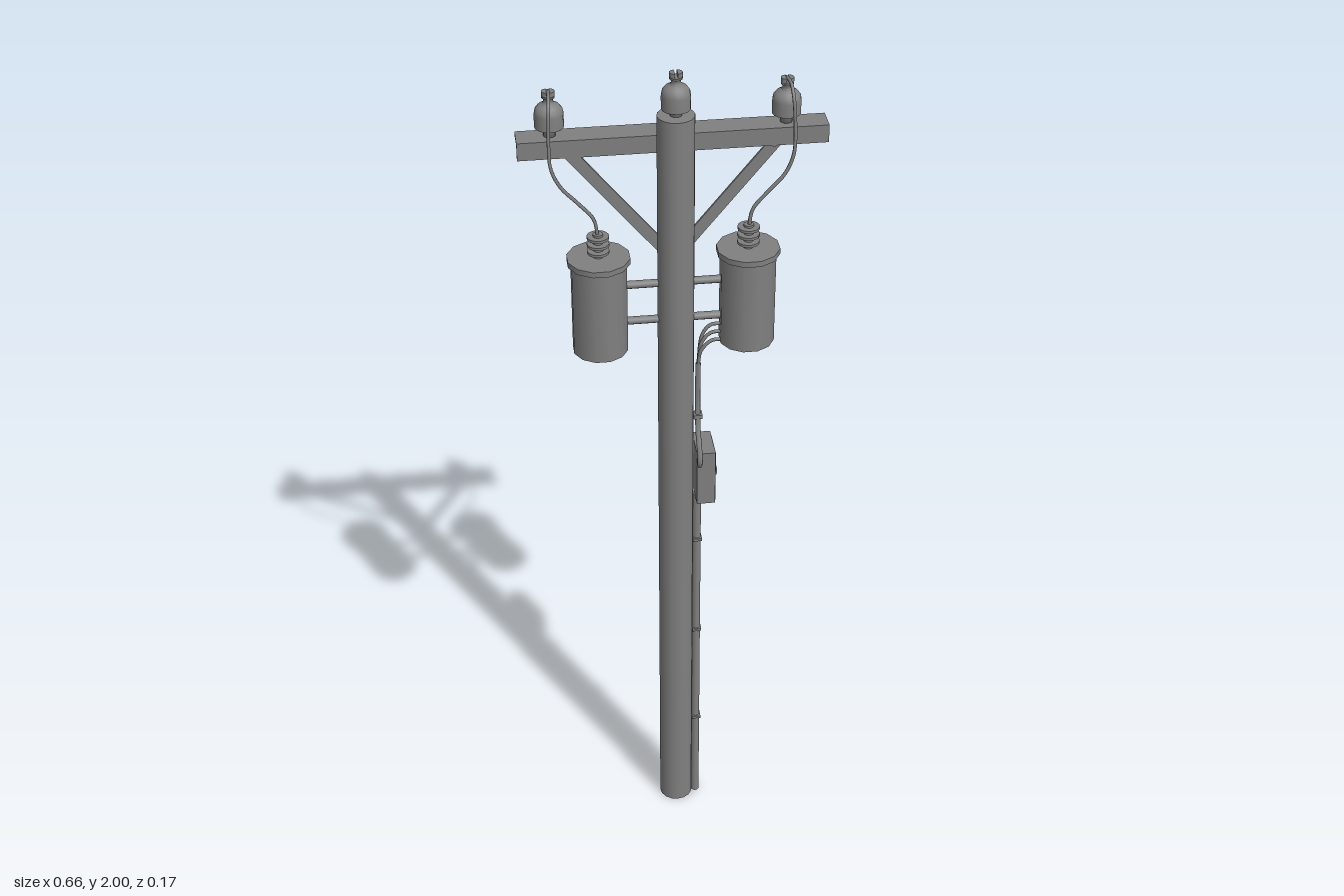
import * as THREE from 'three';

const grey = new THREE.MeshStandardMaterial({ color: 0x808080, side: THREE.DoubleSide });
const Z = 0.015; // depth of the pole axis
const V = (x, y, z) => new THREE.Vector3(x, y, z);

function add(parent, name, geometry, x = 0, y = 0, z = 0) {
  const mesh = new THREE.Mesh(geometry, grey);
  mesh.name = name;
  mesh.position.set(x, y, z);
  parent.add(mesh);
  return mesh;
}

function box(parent, name, w, h, d, x, y, z) {
  return add(parent, name, new THREE.BoxGeometry(w, h, d), x, y, z);
}

function cable(parent, name, points, radius, steps = 40) {
  const curve = new THREE.CatmullRomCurve3(points, false, 'centripetal');
  return add(parent, name, new THREE.TubeGeometry(curve, steps, radius, 6));
}

// Straight round bar between two points
function rod(parent, name, a, b, radius, sides = 10) {
  const mesh = add(parent, name, new THREE.CylinderGeometry(radius, radius, a.distanceTo(b), sides));
  mesh.position.copy(a).add(b).multiplyScalar(0.5);
  mesh.quaternion.setFromUnitVectors(V(0, 1, 0), b.clone().sub(a).normalize());
  return mesh;
}

// Bell-shaped insulator with a split wire saddle on top
function insulator(parent, x, y, z) {
  const group = new THREE.Group();
  group.name = 'insulator';
  group.position.set(x, y, z);
  const profile = [[0, 0], [0.013, 0], [0.013, 0.02], [0.031, 0.02], [0.031, 0.05], [0.029, 0.06],
    [0.023, 0.068], [0.014, 0.072], [0.01, 0.076], [0.01, 0.083], [0.014, 0.086], [0.014, 0.09], [0, 0.09]];
  // Doubled corners keep the hard edges of the skirt
  const points = profile.flatMap(([r, h], i) =>
    [2, 3, 11].includes(i) ? [new THREE.Vector2(r, h), new THREE.Vector2(r, h + 0.0001)] : [new THREE.Vector2(r, h)]);
  add(group, 'insulatorBody', new THREE.LatheGeometry(points, 16));
  for (const side of [-1, 1]) {
    const half = new THREE.Shape();
    half.absarc(0, 0, 0.011, -Math.PI / 2, Math.PI / 2, false);
    const jaw = add(group, 'saddleJaw',
      new THREE.ExtrudeGeometry(half, { depth: 0.01, bevelEnabled: false, curveSegments: 8 }), side * 0.003, 0.09, 0);
    jaw.rotation.set(-Math.PI / 2, 0, side > 0 ? 0 : Math.PI);
  }
  parent.add(group);
}

function transformer(parent, x) {
  const group = new THREE.Group();
  group.name = 'transformer';
  group.position.set(x, 0, Z);
  const drum = (name, r, y0, y1, sides = 12) => {
    const mesh = add(group, name, new THREE.CylinderGeometry(r, r, y1 - y0, sides), 0, (y0 + y1) / 2, 0);
    mesh.rotation.y = Math.PI / sides;
  };
  drum('tank', 0.061, 1.355, 1.575);
  drum('lid', 0.069, 1.572, 1.585);
  // Ribbed bushing
  drum('bushingCore', 0.011, 1.585, 1.64);
  for (let i = 0; i < 3; i++) {
    const y = 1.595 + i * 0.017;
    drum('bushingShed', 0.024, y, y + 0.006, 16);
  }
  // Mounting bars to the pole
  for (const y of [1.42, 1.51])
    rod(parent, 'mountingBar', V(x - Math.sign(x) * 0.05, y, Z), V(0, y, Z), 0.009);
  parent.add(group);
}

export function createModel() {
  const model = new THREE.Group();
  model.name = 'utilityPole';

  // Pole, hollow at the foot and capped on top
  add(model, 'pole', new THREE.CylinderGeometry(0.04, 0.04, 1.905, 16, 1, true), -0.002, 0.9525, Z);
  add(model, 'poleCap', new THREE.CircleGeometry(0.04, 16), -0.002, 1.905, Z).rotation.x = -Math.PI / 2;

  // Angle-section crossarm
  box(model, 'crossarmWeb', 0.656, 0.04, 0.007, 0, 1.82, -0.0295);
  box(model, 'crossarmFlange', 0.656, 0.007, 0.057, 0, 1.8365, -0.0545);

  // Diagonal braces meeting behind the pole
  for (const s of [-1, 1]) {
    const a = V(s * 0.225, 1.815, 0), b = V(0, 1.54, 0);
    const brace = box(model, 'brace', 0.026, a.distanceTo(b), 0.006, s * 0.1125, 1.6775, -0.034 - s * 0.003);
    brace.rotation.z = -s * Math.atan2(0.225, 0.275);
    rod(model, 'braceBolt', V(s * 0.212, 1.802, -0.028), V(s * 0.212, 1.802, -0.045), 0.007, 6);
  }
  rod(model, 'braceBolt', V(0, 1.545, 0), V(0, 1.545, -0.05), 0.008, 6);

  insulator(model, -0.002, 1.9, Z);
  insulator(model, -0.257, 1.84, -0.057);
  insulator(model, 0.241, 1.84, -0.057);

  transformer(model, -0.168);
  transformer(model, 0.154);

  // Leads from the bushings up to the crossarm insulators
  for (const [s, bx, ix] of [[-1, -0.168, -0.257], [1, 0.154, 0.241]])
    cable(model, 'lead', [
      V(bx, 1.63, Z), V(bx + s * 0.008, 1.675, Z), V(bx + s * 0.04, 1.715, Z), V(bx + s * 0.075, 1.755, Z),
      V(ix + s * 0.005, 1.8, Z), V(ix + s * 0.007, 1.86, 0.01), V(ix + s * 0.004, 1.92, 0),
      V(ix + s * 0.002, 1.94, -0.02), V(ix, 1.938, -0.057), V(ix, 1.933, -0.072)], 0.004);

  // Control box with louvres on its outer side
  box(model, 'controlBox', 0.042, 0.14, 0.088, 0.062, 1.01, 0.014);
  box(model, 'controlBoxDoor', 0.003, 0.13, 0.078, 0.083, 1.01, 0.014);
  for (let i = 0; i < 4; i++)
    box(model, 'louvre', 0.004, 0.018, 0.012, 0.086, 1.02, -0.012 + i * 0.0173);

  // Conduit down the pole with straps
  rod(model, 'conduit', V(0.046, 0, 0.02), V(0.046, 0.945, 0.02), 0.01);
  for (const y of [0.255, 0.54, 0.815])
    box(model, 'conduitStrap', 0.021, 0.007, 0.026, 0.047, y, 0.02);

  // Cables gathered from the transformer and run down to the box
  for (let i = 0; i < 3; i++) {
    const z = 0.012 + i * 0.007, y = 1.395 - i * 0.016;
    cable(model, 'secondaryCable', [V(0.1, y, z), V(0.075, y - 0.002, z), V(0.057 - i * 0.002, y - 0.025, z),
      V(0.048, 1.31, 0.018 + i * 0.002), V(0.047, 1.25, 0.02)], 0.004, 24);
  }
  cable(model, 'boxCable', [V(0.047, 1.3, 0.019), V(0.046, 1.18, 0.024), V(0.045, 1.13, 0.042),
    V(0.045, 1.095, 0.068), V(0.045, 1.07, 0.077), V(0.045, 1.057, 0.07), V(0.047, 1.053, 0.05)], 0.006);
  box(model, 'cableClamp', 0.02, 0.01, 0.02, 0.046, 1.165, 0.025);

  return model;
}
